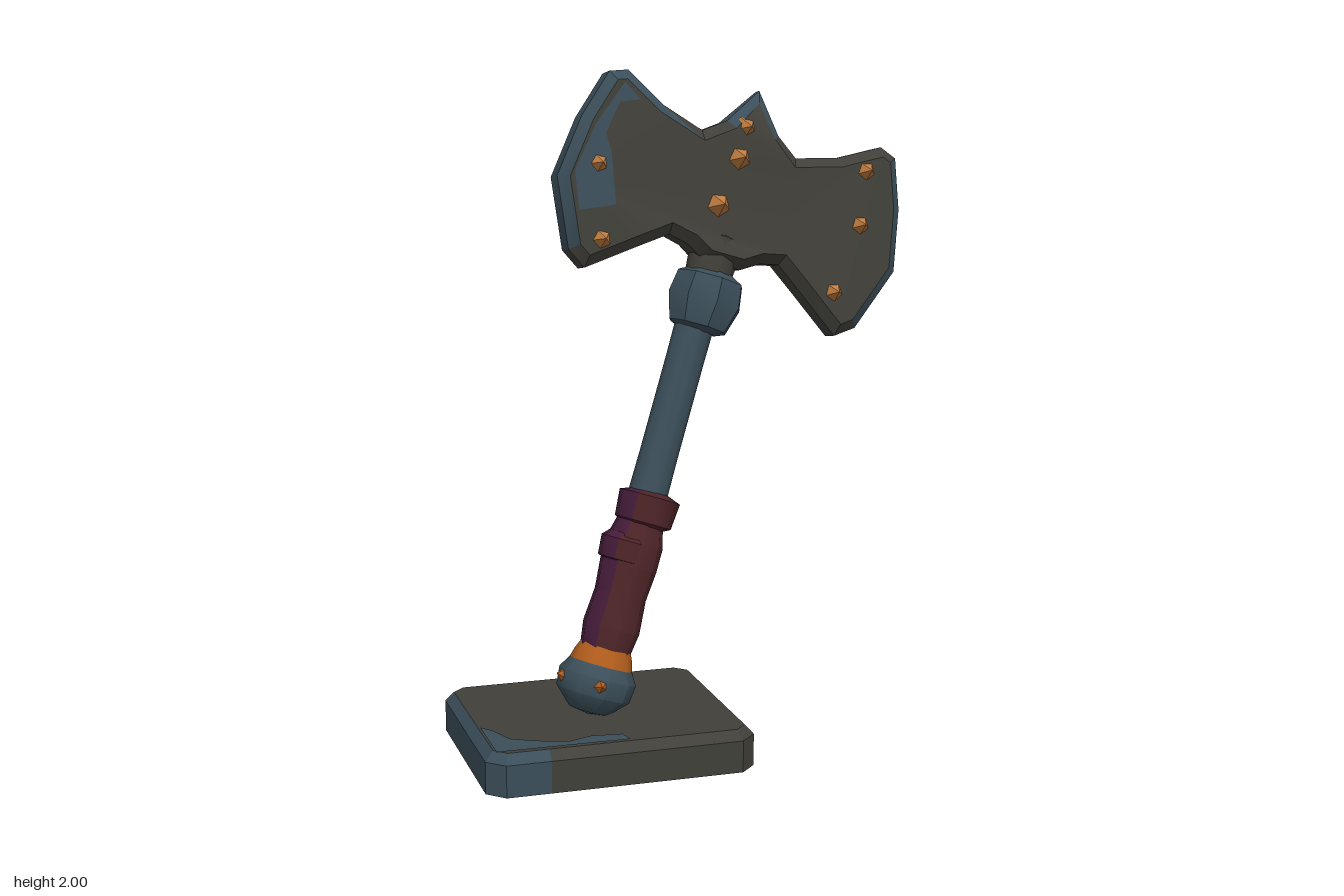
import * as THREE from 'three';
import { toCreasedNormals } from 'three/addons/utils/BufferGeometryUtils.js';

const mat = (name, color) => {
  const m = new THREE.MeshStandardMaterial({ color });
  m.name = name;
  return m;
};

// Split a geometry into material groups by a rule on each triangle's centre and normal
function paint(geo, rule) {
  const p = geo.attributes.position;
  const [a, b, c] = [0, 1, 2].map(() => new THREE.Vector3());
  const tri = new THREE.Triangle(a, b, c), mid = new THREE.Vector3(), nor = new THREE.Vector3();
  geo.clearGroups();
  let start = 0, last = -1;
  for (let i = 0; i < p.count; i += 3) {
    [a, b, c].forEach((v, k) => v.fromBufferAttribute(p, i + k));
    tri.getMidpoint(mid);
    tri.getNormal(nor);
    const id = rule(mid, nor) ? 1 : 0;
    if (id !== last) {
      if (last >= 0) geo.addGroup(start, i - start, last);
      start = i;
      last = id;
    }
  }
  geo.addGroup(start, p.count - start, last);
  return geo;
}

const shapeOf = (pts) => new THREE.Shape(pts.map(([x, y]) => new THREE.Vector2(x, y)));
// Direction around the shaft, 0 at the front and growing toward +x
const around = (m) => Math.atan2(m.x, m.z) - 0.33;

export function createModel() {
  const stone = mat('darkStone', 0x403f39);
  const steel = mat('blueSteel', 0x3b4e59);
  const orange = mat('orangeTrim', 0xb05c1c);
  const bronze = mat('bronzeStud', 0xc07c40);
  const maroon = mat('maroonWrap', 0x4d2427);
  const purple = mat('purpleWrap', 0x451c3a);

  const model = new THREE.Group();
  const add = (parent, name, geo, material) => {
    const m = new THREE.Mesh(geo, material);
    m.name = name;
    parent.add(m);
    return m;
  };
  const lathe = (pts, sides = 10) => toCreasedNormals(
    new THREE.LatheGeometry(pts.map(([r, y]) => new THREE.Vector2(r, y)), sides), 0.7);

  // Base slab with cut corners and a bevelled top
  const base = new THREE.Group();
  base.name = 'base';
  base.position.x = -0.287;
  base.rotation.y = -0.339;
  model.add(base);
  const w = 0.375, d = 0.31, k = 0.035;
  const slab = new THREE.ExtrudeGeometry(shapeOf([
    [-w + k, -d], [-0.22, -d], [w - k, -d], [w, -d + k], [w, d - k], [w - k, d],
    [-w + k, d], [-w, d - k], [-w, -d + k],
  ]), { depth: 0.095, bevelThickness: 0.028, bevelSize: 0.025, bevelSegments: 1 });
  const sp = slab.attributes.position;
  for (let i = 0; i < sp.count; i++) sp.setZ(i, Math.max(0, sp.getZ(i)));
  slab.rotateX(-Math.PI / 2);
  add(base, 'slab', paint(toCreasedNormals(slab, 0.5),
    (m, n) => Math.abs(n.y) < 0.9 && !(m.z > 0.29 && m.x > -0.24)), [stone, steel]);
  // Worn patch along the front edge of the slab
  const worn = new THREE.ShapeGeometry(shapeOf([
    [-0.37, -0.3], [0.02, -0.305], [0.01, -0.255], [-0.08, -0.245], [-0.15, -0.27],
    [-0.24, -0.24], [-0.31, -0.2], [-0.34, -0.12], [-0.37, -0.08],
  ]));
  worn.rotateX(-Math.PI / 2);
  add(base, 'wornPatch', worn, steel).position.y = 0.126;

  // Leaning axe frame: y along the shaft, x across the blades
  const axe = new THREE.Group();
  axe.name = 'axe';
  const up = new THREE.Vector3(0.353, 0.934, -0.03).normalize();
  const out = new THREE.Vector3().crossVectors(new THREE.Vector3(0.881, -0.333, 0.33), up).normalize();
  const side = new THREE.Vector3().crossVectors(up, out);
  axe.quaternion.setFromRotationMatrix(new THREE.Matrix4().makeBasis(side, up, out));
  axe.position.set(-0.3, 0.21, 0.02);
  model.add(axe);

  // Pommel and its trim
  add(axe, 'pommel', lathe([[0, -0.095], [0.06, -0.085], [0.112, -0.035], [0.118, 0.02], [0.09, 0.065]]), steel);
  add(axe, 'pommelTrim', lathe([[0.096, 0.055], [0.088, 0.085], [0.068, 0.13]]), orange);

  // Wrapped grip, with two uneven bands
  const wrap = (m) => {
    const a = around(m);
    return !((a > -0.9 && a < 0.95) || (a > 2 && a < 2.8 && m.y > 0.28));
  };
  const grip = (name, pts, x = 0) => {
    add(axe, name, paint(lathe(pts, 9), wrap), [maroon, purple]).position.x = x;
  };
  grip('grip', [[0.05, 0.1], [0.078, 0.1], [0.088, 0.17], [0.08, 0.27], [0.088, 0.36], [0.088, 0.43], [0.07, 0.5]]);
  grip('gripBand', [[0.06, 0.36], [0.085, 0.37], [0.09, 0.43], [0.06, 0.46]], -0.014);
  grip('gripTopBand', [[0.06, 0.48], [0.088, 0.495], [0.095, 0.575], [0.055, 0.59]], 0.008);

  // Shaft with a stained strip, collar and socket
  const shaft = lathe([[0.06, 0.54], [0.058, 0.7], [0.058, 1.0], [0.06, 1.16]]);
  add(axe, 'shaft', paint(shaft, (m) => {
    const a = around(m);
    return !(a > 2 && a < 2.9 && m.y > 0.65 && m.y < 1.05);
  }), [stone, steel]);
  add(axe, 'collar', lathe([[0.055, 1.09], [0.092, 1.105], [0.117, 1.185], [0.106, 1.255], [0.06, 1.28]], 8), steel)
    .position.x = 0.01;
  add(axe, 'socket', lathe([[0.07, 1.25], [0.076, 1.32], [0.074, 1.38], [0.04, 1.4]]), stone);

  // Double blade with a central spike, mirrored from one half
  const headGroup = new THREE.Group();
  headGroup.name = 'axeHead';
  headGroup.position.x = 0.07;
  headGroup.rotation.z = 0.04;
  axe.add(headGroup);
  const half = [
    [0.06, 1.3], [0.12, 1.335], [0.18, 1.348], [0.27, 1.285], [0.41, 1.185], [0.47, 1.225], [0.555, 1.425],
    [0.525, 1.615], [0.475, 1.765], [0.42, 1.785], [0.29, 1.715], [0.155, 1.675], [0.085, 1.725],
  ];
  const outline = [...half, [0, 1.845], ...half.map(([x, y]) => [-x, y]).reverse()];
  const head = new THREE.ExtrudeGeometry(shapeOf(outline), {
    depth: 0.07, bevelThickness: 0.03, bevelSize: 0.03, bevelOffset: -0.03, bevelSegments: 1,
  });
  head.translate(0, 0, -0.035);
  const hp = head.attributes.position;
  for (let i = 0; i < hp.count; i++) {
    // thicker in the middle, thinner toward the spike tip
    const x = Math.abs(hp.getX(i)), y = hp.getY(i);
    const f = (1 + 0.35 * Math.max(0, 1 - x / 0.2))
      * (x < 0.2 ? THREE.MathUtils.clamp(1 - (y - 1.7) * 5, 0.3, 1) : 1);
    hp.setZ(i, hp.getZ(i) * f);
  }
  add(headGroup, 'blades', paint(toCreasedNormals(head, 0.6), (m, n) => {
    const edge = Math.abs(m.x) > 0.46 && Math.abs(n.z) < 0.9;
    const spike = Math.abs(m.x) < 0.1 && m.y > 1.7 && Math.abs(n.z) < 0.85;
    const leftTop = m.x < -0.22 && n.y > 0.4;
    return edge || spike || leftTop;
  }), [stone, steel]);

  // Worn steel on one blade face
  add(headGroup, 'bladeWear', new THREE.ShapeGeometry(shapeOf([
    [-0.515, 1.45], [-0.475, 1.34], [-0.37, 1.385], [-0.42, 1.53], [-0.45, 1.58],
    [-0.43, 1.68], [-0.37, 1.705], [-0.43, 1.74], [-0.485, 1.6],
  ])), steel).position.z = 0.068;

  // Chunky studs on both faces
  const studGeo = toCreasedNormals(new THREE.ConeGeometry(0.036, 0.056, 5).rotateX(Math.PI / 2), 0.3);
  const studs = [
    [-0.448, 1.489, 0.08], [-0.386, 1.276, 0.08], [-0.03, 1.715, 0.085], [-0.03, 1.62, 0.095],
    [-0.06, 1.468, 0.095], [0.38, 1.695, 0.08], [0.4, 1.53, 0.08], [0.365, 1.31, 0.08],
  ];
  studs.forEach(([x, y, z], i) => {
    const front = add(headGroup, 'frontStud', studGeo, bronze);
    front.position.set(x, y, z);
    front.rotation.z = i * 1.3;
    const back = add(headGroup, 'backStud', studGeo, bronze);
    back.position.set(x, y, -z);
    back.rotation.set(0, Math.PI, i * 0.9);
  });
  const extra = add(headGroup, 'backStud', studGeo, bronze);
  extra.position.set(-0.42, 1.68, -0.08);
  extra.rotation.y = Math.PI;

  // Small studs around the pommel
  for (const a of [-0.15, 1.7, 3.3, 4.8]) {
    const s = add(axe, 'pommelStud', studGeo, orange);
    s.scale.set(0.7, 0.7, 0.45);
    s.position.set(Math.sin(a) * 0.117, 0, Math.cos(a) * 0.117);
    s.rotation.y = a;
  }
  return model;
}
